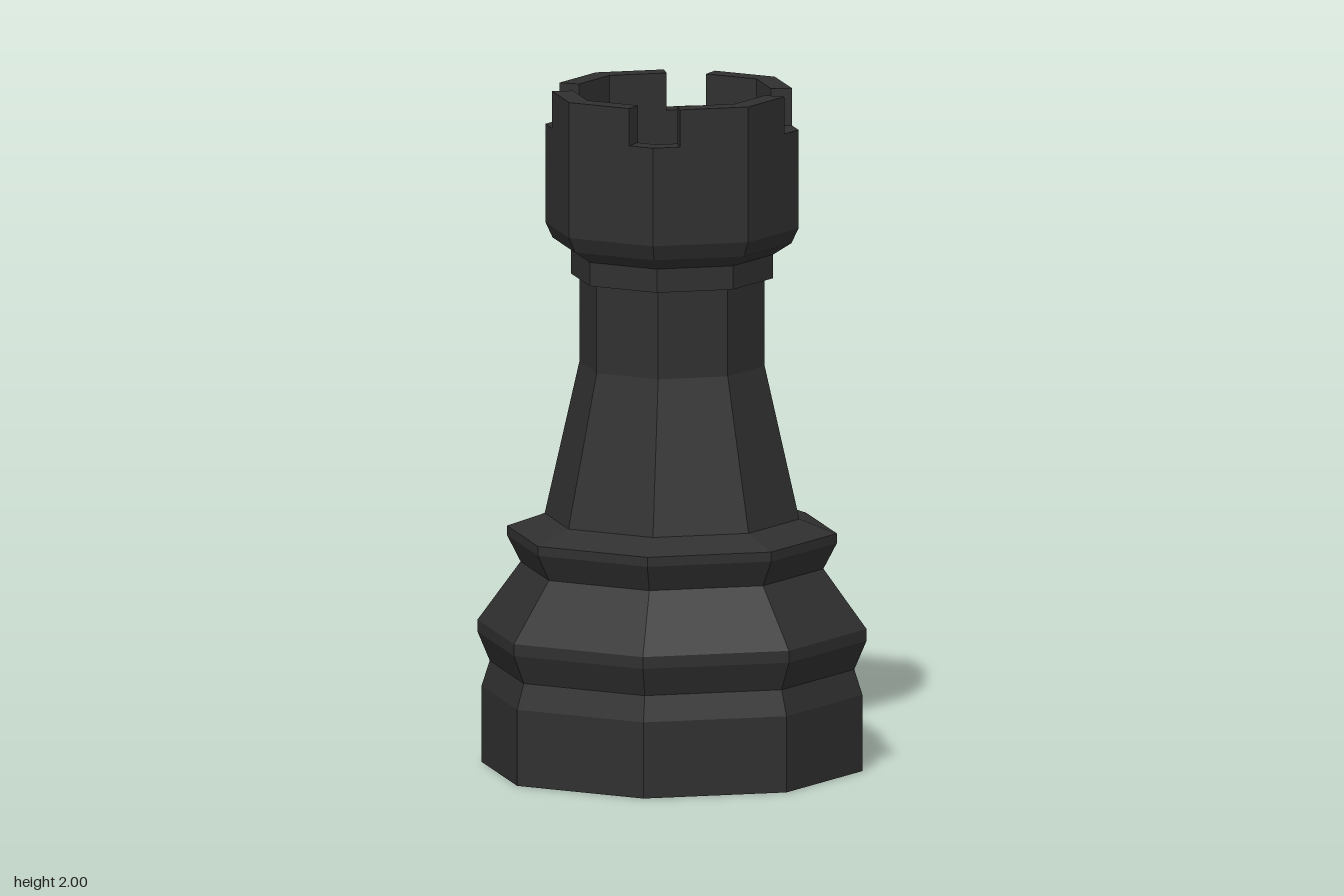
import * as THREE from 'three';

const SIDES = 8;
const DEPTH = 1.022; // slightly deeper than wide
const RIM = 0.373, WELL = 0.307; // outer and inner radius of the crown
const NOTCH_Y = 1.89, FLOOR_Y = 1.75, TOP_Y = 2;

const material = new THREE.MeshStandardMaterial({ color: 0x303030, flatShading: true });

function part(name, geometry) {
  geometry.scale(1, 1, DEPTH);
  const mesh = new THREE.Mesh(geometry, material);
  mesh.name = name;
  return mesh;
}

// Eight-sided turned part from [radius, height] pairs, bottom to top
function turned(name, profile) {
  const points = profile.map(([r, y]) => new THREE.Vector2(r, y));
  return part(name, new THREE.LatheGeometry(points, SIDES));
}

// Crown block that wraps one diagonal corner of the octagon
function merlon(index) {
  const slope = Math.tan(Math.PI / 8);
  const corner = (r) => r * Math.SQRT1_2;
  const edge = (r, x) => r - slope * x;
  const a = 0.075, b = 0.058; // half the notch width, outside and inside
  const shape = new THREE.Shape([
    [edge(RIM, a), a], [corner(RIM), corner(RIM)], [a, edge(RIM, a)],
    [b, edge(WELL, b)], [corner(WELL), corner(WELL)], [edge(WELL, b), b],
  ].map(([x, y]) => new THREE.Vector2(x, y)));
  const geometry = new THREE.ExtrudeGeometry(shape, { depth: TOP_Y - NOTCH_Y, bevelEnabled: false });
  geometry.rotateX(-Math.PI / 2);
  geometry.rotateY(index * Math.PI / 2);
  geometry.translate(0, NOTCH_Y, 0);
  return part('merlon' + (index + 1), geometry);
}

export function createModel() {
  const group = new THREE.Group();
  group.name = 'rook';

  // Stepped foot with bulge and collar
  group.add(turned('base', [
    [0, 0], [0.561, 0], [0.561, 0.225], [0.537, 0.3], [0.573, 0.385], [0.573, 0.42],
    [0.446, 0.595], [0.486, 0.672], [0.486, 0.7], [0.375, 0.74], [0, 0.74],
  ]));

  // Tapered shaft
  group.add(turned('shaft', [[0.375, 0.74], [0.273, 1.19], [0.273, 1.45]]));

  // Ring under the head
  group.add(turned('neckRing', [[0.27, 1.45], [0.298, 1.45], [0.298, 1.52]]));

  // Head with a sunken well
  group.add(turned('head', [
    [0.298, 1.52], [0.352, 1.555], [RIM, 1.6], [RIM, NOTCH_Y],
    [WELL, NOTCH_Y], [WELL, FLOOR_Y], [0, FLOOR_Y],
  ]));

  // Battlements
  for (let i = 0; i < 4; i++) group.add(merlon(i));

  return group;
}
